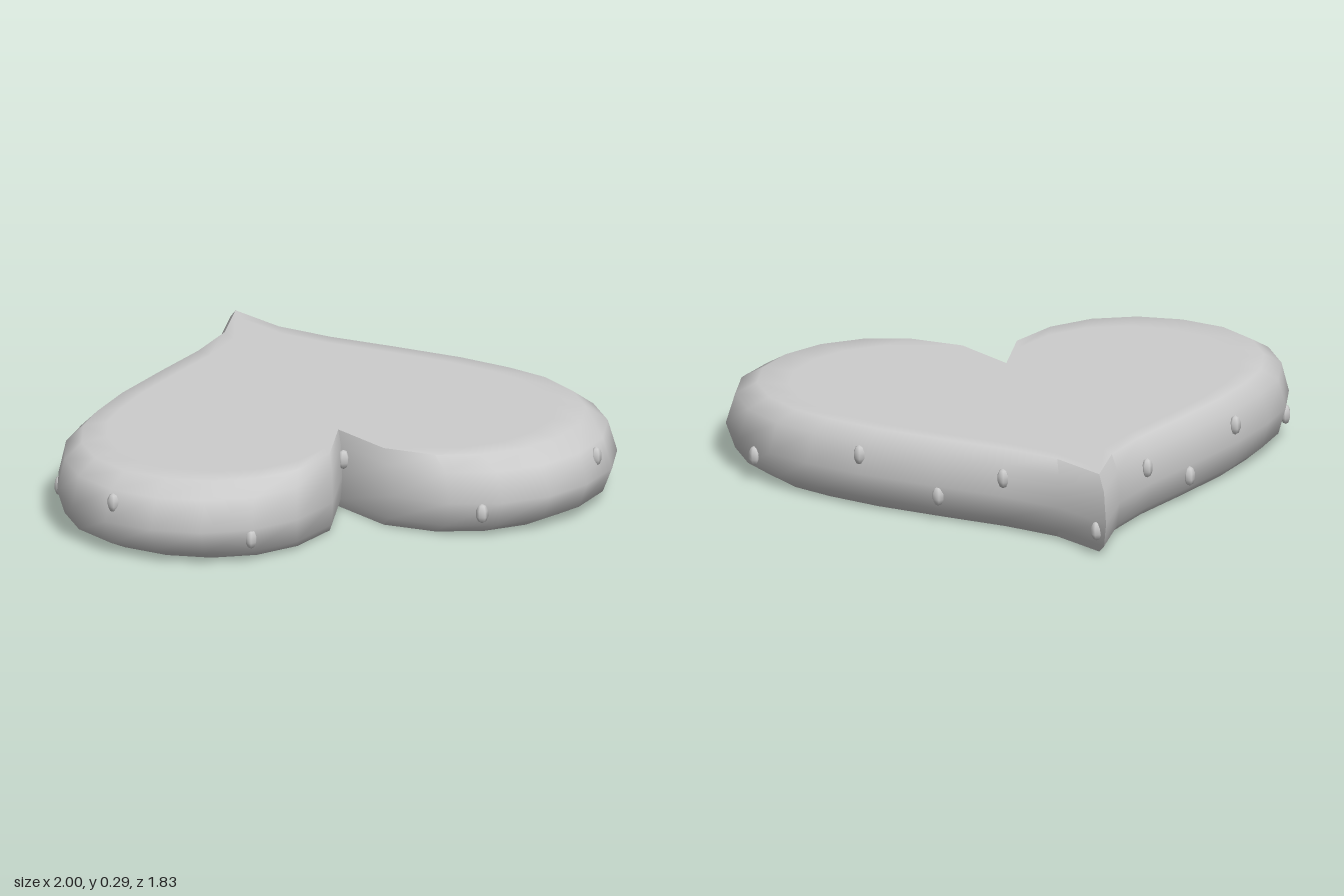
import * as THREE from 'three';
import { toCreasedNormals } from 'three/addons/utils/BufferGeometryUtils.js';

// Right half of the heart outline as [x, z], from the tip to the notch
const HALF = [
  [0, -0.92], [0.11, -0.70], [0.27, -0.53], [0.47, -0.36], [0.69, -0.165],
  [0.84, 0], [0.94, 0.14], [1, 0.32], [1, 0.5], [0.93, 0.67], [0.8, 0.8],
  [0.64, 0.88], [0.46, 0.9], [0.28, 0.85], [0.11, 0.72], [0, 0.47],
];

// Rounded rim as [scale of the outline, height], top to bottom
const RINGS = [
  [0.8, 0.287], [0.9, 0.287], [0.97, 0.24], [1, 0.13], [0.97, 0.04], [0.9, 0], [0.8, 0],
];

// Seeds as [x, z]; they alternate between a high and a low row
const SEEDS = [
  [0, 0.485], [0.39, 0.88], [0.86, 0.71], [0.97, 0.23], [0.69, -0.15], [0.46, -0.36], [0.27, -0.53],
  [0.02, -0.87], [-0.25, -0.55], [-0.45, -0.38], [-0.67, -0.18], [-0.95, 0.18], [-0.9, 0.67], [-0.46, 0.89],
];

function heartGeometry() {
  const mirrored = HALF.slice(1, -1).reverse().map(([x, z]) => [-x, z]);
  const outline = [...HALF, ...mirrored];
  const n = outline.length;
  const positions = [];
  const index = [];
  for (const [s, y] of RINGS) for (const [x, z] of outline) positions.push(x * s, y, z * s);

  // centres of the flat top and base
  const top = RINGS.length * n;
  const base = top + 1;
  positions.push(0, 0.287, 0, 0, 0, 0);

  const last = (RINGS.length - 1) * n;
  for (let j = 0; j < n; j++) {
    const k = (j + 1) % n;
    index.push(top, k, j, base, last + j, last + k);
    for (let r = 0; r < RINGS.length - 1; r++) {
      const a = r * n;
      const b = a + n;
      index.push(a + j, a + k, b + k, a + j, b + k, b + j);
    }
  }
  const geometry = new THREE.BufferGeometry();
  geometry.setAttribute('position', new THREE.Float32BufferAttribute(positions, 3));
  geometry.setIndex(index);
  return toCreasedNormals(geometry, 0.9);
}

// Direction pointing out of the outline at the edge nearest to (x, z)
function outwardAngle(x, z) {
  let best = Infinity;
  let angle = 0;
  const p = new THREE.Vector3(Math.abs(x), 0, z);
  const near = new THREE.Vector3();
  for (let i = 0; i < HALF.length - 1; i++) {
    const a = new THREE.Vector3(HALF[i][0], 0, HALF[i][1]);
    const b = new THREE.Vector3(HALF[i + 1][0], 0, HALF[i + 1][1]);
    new THREE.Line3(a, b).closestPointToPoint(p, true, near);
    const d = near.distanceTo(p);
    if (d < best) {
      best = d;
      angle = Math.atan2(b.z - a.z, a.x - b.x);
    }
  }
  return x < 0 ? -angle : angle;
}

export function createModel() {
  const model = new THREE.Group();
  model.name = 'heart';
  const grey = new THREE.MeshStandardMaterial({ color: 0xcccccc });
  grey.name = 'grey';

  const body = new THREE.Mesh(heartGeometry(), grey);
  body.name = 'heartBody';
  model.add(body);

  // small oval seeds around the rim
  const seedGeometry = new THREE.SphereGeometry(1, 6, 5);
  seedGeometry.scale(0.023, 0.036, 0.019);
  const seeds = new THREE.Group();
  seeds.name = 'seeds';
  SEEDS.forEach(([x, z], i) => {
    const seed = new THREE.Mesh(seedGeometry, grey);
    seed.name = 'seed';
    seed.position.set(x, i % 2 ? 0.093 : 0.197, z);
    if (Math.abs(x) > 0.1) seed.rotation.y = outwardAngle(x, z);
    seeds.add(seed);
  });
  model.add(seeds);
  return model;
}
